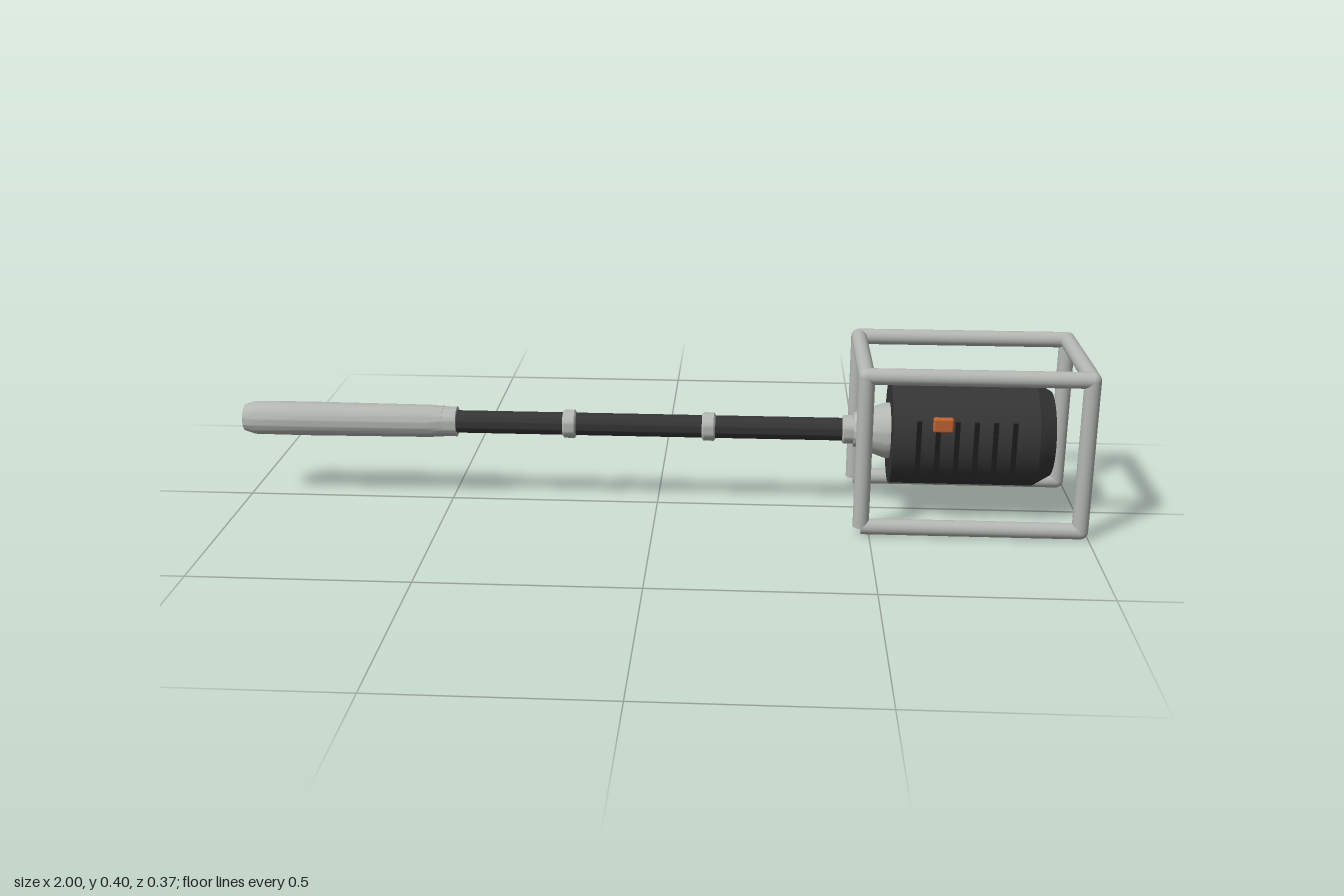
import * as THREE from 'three';
import { toCreasedNormals } from 'three/addons/utils/BufferGeometryUtils.js';
import { RoundedBoxGeometry } from 'three/addons/geometries/RoundedBoxGeometry.js';

const AXIS_Y = 0.2;

export function createModel() {
  const model = new THREE.Group();
  model.name = 'cagedTool';
  const material = (name, color) => {
    const m = new THREE.MeshStandardMaterial({ color });
    m.name = name;
    return m;
  };
  const grey = material('lightGrey', 0xb4b7b2);
  const dark = material('charcoal', 0x353535);
  const black = material('black', 0x1c1c1c);
  const orange = material('orange', 0xc0622f);

  const add = (name, geometry, mat, x = 0, y = 0, z = 0, parent = model) => {
    const mesh = new THREE.Mesh(geometry, mat);
    mesh.name = name;
    mesh.position.set(x, y, z);
    parent.add(mesh);
    return mesh;
  };

  // Turned part along x from [x, radius] pairs
  const turned = (name, profile, mat) => {
    const points = profile.map(([x, r]) => new THREE.Vector2(r, x));
    const geometry = new THREE.LatheGeometry(points, 48).rotateZ(-Math.PI / 2);
    add(name, toCreasedNormals(geometry, 0.4), mat, 0, AXIS_Y, 0);
  };

  // Handle, shaft and joint rings
  turned('handleGrip', [[-1, 0], [-1, 0.032], [-0.975, 0.04], [-0.85, 0.041],
    [-0.55, 0.039], [-0.515, 0.037], [-0.515, 0]], grey);
  turned('handleCollar', [[-0.52, 0], [-0.52, 0.036], [-0.482, 0.036], [-0.482, 0]], grey);
  turned('shaft', [[-0.5, 0], [-0.5, 0.027], [0.48, 0.027], [0.48, 0]], dark);
  for (const x of [-0.21, 0.123, 0.455]) {
    turned('shaftRing', [[x - 0.016, 0], [x - 0.016, 0.029], [x - 0.012, 0.034],
      [x + 0.012, 0.034], [x + 0.016, 0.029], [x + 0.016, 0]], grey);
  }

  // Flared neck and motor housing
  turned('neck', [[0.465, 0], [0.465, 0.04], [0.54, 0.066], [0.555, 0.066], [0.555, 0]], grey);
  turned('motorHousing', [[0.55, 0], [0.55, 0.124], [0.885, 0.124],
    [0.925, 0.1], [0.934, 0]], dark);

  // Vent strips and switch on the front of the housing
  for (let i = 0; i < 6; i++) {
    add('ventStrip', new THREE.BoxGeometry(0.011, 0.13, 0.005), black, 0.608 + i * 0.0435, 0.2, 0.1265);
  }
  add('switchButton', new RoundedBoxGeometry(0.046, 0.034, 0.018, 3, 0.005), orange, 0.662, 0.258, 0.126);

  // Guard cage: closed top frame, four posts, two bottom rails
  const cage = new THREE.Group();
  cage.name = 'guardCage';
  model.add(cage);
  const R = 0.0187, X0 = 0.481, X1 = 0.981, Y0 = 0.021, Y1 = 0.383, Z = 0.166;
  const bar = (name, a, b) => {
    const from = new THREE.Vector3(...a), to = new THREE.Vector3(...b);
    const dir = to.clone().sub(from);
    const mid = from.clone().add(to).multiplyScalar(0.5);
    const mesh = add(name, new THREE.CylinderGeometry(R, R, dir.length(), 24), grey, mid.x, mid.y, mid.z, cage);
    mesh.quaternion.setFromUnitVectors(new THREE.Vector3(0, 1, 0), dir.normalize());
  };
  const joint = (x, y, z) => add('cageCorner', new THREE.SphereGeometry(R, 24, 16), grey, x, y, z, cage);
  for (const z of [-Z, Z]) {
    bar('topRail', [X0, Y1, z], [X1, Y1, z]);
    bar('bottomRail', [X0, Y0, z], [X1, Y0, z]);
    for (const x of [X0, X1]) {
      bar('post', [x, Y0, z], [x, Y1, z]);
      joint(x, Y1, z);
    }
    joint(X1, Y0, z);
  }
  for (const x of [X0, X1]) bar('topCrossbar', [x, Y1, -Z], [x, Y1, Z]);

  return model;
}
